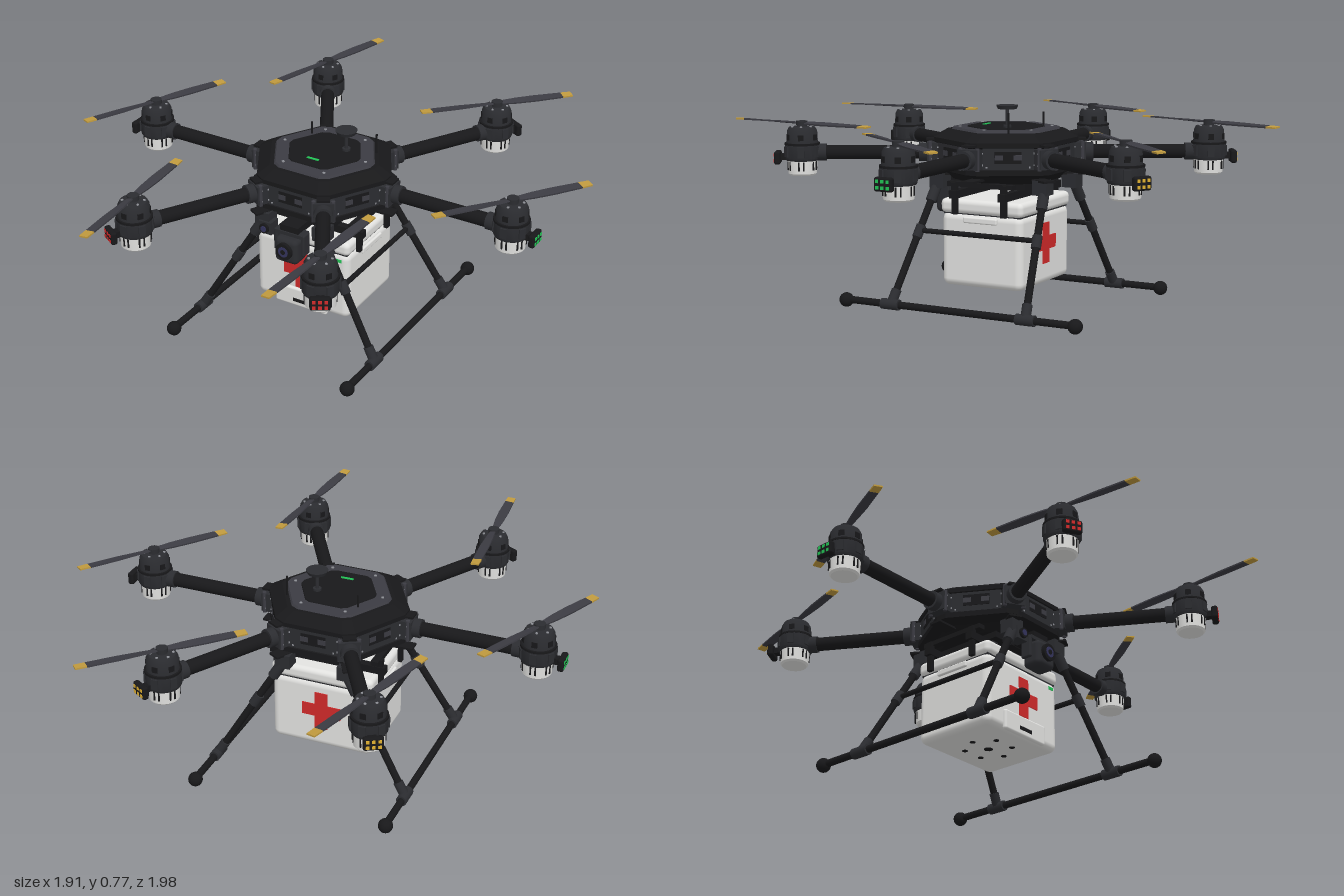
import * as THREE from 'three';
import { toCreasedNormals } from 'three/addons/utils/BufferGeometryUtils.js';
import { RoundedBoxGeometry } from 'three/addons/geometries/RoundedBoxGeometry.js';

const material = (name, color) => {
  const m = new THREE.MeshStandardMaterial({ color });
  m.name = name;
  return m;
};
const M = {
  black: material('black', 0x18181a),
  charcoal: material('charcoal', 0x2b2c30),
  slate: material('slate', 0x3b3b42),
  white: material('white', 0xe2e2e0),
  red: material('red', 0xd02a2a),
  gold: material('gold', 0xc09a3e),
  green: material('green', 0x22c455),
  amber: material('amber', 0xe0b030),
  silver: material('silver', 0x8c8e94),
  lens: material('lens blue', 0x34345c),
};

function add(parent, name, geo, mat, x = 0, y = 0, z = 0) {
  const mesh = new THREE.Mesh(geo, mat);
  mesh.name = name;
  mesh.position.set(x, y, z);
  parent.add(mesh);
  return mesh;
}
function group(parent, name) {
  const g = new THREE.Group();
  g.name = name;
  parent.add(g);
  return g;
}
const box = (w, h, d) => new THREE.BoxGeometry(w, h, d);
const round = (w, h, d, r) => new RoundedBoxGeometry(w, h, d, 3, r);
const cyl = (r, h, n = 20, r2 = r) => new THREE.CylinderGeometry(r, r2, h, n);
const lathe = (pts) =>
  toCreasedNormals(new THREE.LatheGeometry(pts.map(([r, y]) => new THREE.Vector2(r, y)), 28), 0.5);

// Straight tube between two points
function rod(parent, name, a, b, r, mat, n = 14) {
  const p = new THREE.Vector3(...a), q = new THREE.Vector3(...b);
  const mesh = add(parent, name, cyl(r, p.distanceTo(q), n), mat);
  mesh.position.copy(p).lerp(q, 0.5);
  mesh.quaternion.setFromUnitVectors(new THREE.Vector3(0, 1, 0), q.sub(p).normalize());
  return mesh;
}

// Faceted, capped skin through a list of rings with equal point counts
function loft(rings) {
  const pos = [], n = rings[0].length;
  const tri = (...p) => p.forEach((v) => pos.push(...v));
  for (let k = 0; k + 1 < rings.length; k++)
    for (let j = 0; j < n; j++) {
      const i = (j + 1) % n, lo = rings[k], hi = rings[k + 1];
      tri(lo[j], hi[j], hi[i]);
      tri(lo[j], hi[i], lo[i]);
    }
  const first = rings[0], last = rings[rings.length - 1];
  for (let j = 1; j + 1 < n; j++) {
    tri(first[0], first[j], first[j + 1]);
    tri(last[0], last[j + 1], last[j]);
  }
  const g = new THREE.BufferGeometry();
  g.setAttribute('position', new THREE.Float32BufferAttribute(pos, 3));
  g.computeVertexNormals();
  return g;
}

// Hexagon with clipped corners pointing along the arms
function hexRing(r, y) {
  const ring = [];
  for (let i = 0; i < 6; i++)
    for (const s of [-1, 1]) {
      const a = (i * Math.PI) / 3 + s * 0.085;
      ring.push([Math.cos(a) * r * 0.92, y, Math.sin(a) * r * 0.92]);
    }
  return ring;
}
const hexLoft = (profile) => loft(profile.map(([r, y]) => hexRing(r, y)));

// Twisted blade section along +x
function bladeRing([x, halfWidth, twist]) {
  const t = 0.003, c = Math.cos(twist), s = Math.sin(twist);
  return [[t, halfWidth], [t, -halfWidth], [-t, -halfWidth], [-t, halfWidth]]
    .map(([y, z]) => [x, y * c - z * s, y * s + z * c]);
}

function buildPropeller(parent, angle) {
  const prop = group(parent, 'propeller');
  prop.position.set(0.783, 0.705, 0);
  prop.rotation.y = angle;
  add(prop, 'propellerHub', cyl(0.022, 0.016), M.charcoal);
  for (const turn of [0, Math.PI]) {
    const blade = group(prop, 'blade');
    blade.rotation.y = turn;
    const stations = [[0.01, 0.01, 0.25], [0.08, 0.016, 0.22], [0.16, 0.019, 0.14], [0.274, 0.017, 0.08]];
    add(blade, 'bladeBody', loft(stations.map(bladeRing)), M.slate);
    add(blade, 'bladeTip', loft([[0.274, 0.0175, 0.08], [0.316, 0.016, 0.06]].map(bladeRing)), M.gold);
  }
}

function buildMotor(arm, lightMat) {
  const motor = group(arm, 'motor');
  motor.position.x = 0.783;
  add(motor, 'motorBase', lathe([[0, 0.505], [0.048, 0.505], [0.055, 0.512], [0.058, 0.568], [0, 0.568]]), M.white);
  add(motor, 'motorHousing', lathe([[0, 0.562], [0.062, 0.562], [0.066, 0.57], [0.066, 0.622], [0.06, 0.63],
    [0.058, 0.675], [0.05, 0.69], [0.02, 0.692], [0.018, 0.71], [0, 0.71]]), M.charcoal);
  add(motor, 'motorBand', cyl(0.0675, 0.008, 28), M.black, 0, 0.626, 0);
  for (let i = 0; i < 6; i++) {
    const side = group(motor, 'motorDetail');
    side.rotation.y = (i + 0.5) * Math.PI / 3;
    for (const z of [-0.009, 0.009]) add(side, 'baseSlot', box(0.005, 0.034, 0.006), M.black, 0.0555, 0.542, z);
    add(side, 'coolingVent', box(0.006, 0.022, 0.022), M.black, 0.0575, 0.652, 0);
    add(side, 'motorRib', box(0.012, 0.04, 0.026), M.charcoal, 0.064, 0.597, 0);
    add(side, 'motorBolt', cyl(0.005, 0.004, 8), M.silver, 0.04, 0.692, 0);
  }
  // Navigation light on the outer side
  add(motor, 'lightBracket', box(0.035, 0.024, 0.03), M.black, 0.073, 0.575, 0);
  add(motor, 'lightPod', round(0.024, 0.05, 0.072, 0.008), M.black, 0.094, 0.573, 0);
  for (const z of [-0.021, 0, 0.021])
    for (const y of [-0.011, 0.011]) add(motor, 'lightLens', box(0.006, 0.012, 0.012), lightMat, 0.105, 0.573 + y, z);
}

function buildArm(root, index, propAngle, lightMat) {
  const a = (index * Math.PI) / 3;
  const arm = group(root, 'arm');
  arm.rotation.y = -a;
  rod(arm, 'armTube', [0.2, 0.592, 0], [0.75, 0.592, 0], 0.027, M.black, 20);
  // Folding clamp at the body
  add(arm, 'armClamp', box(0.06, 0.075, 0.08), M.charcoal, 0.275, 0.592, 0);
  rod(arm, 'clampCollar', [0.29, 0.592, 0], [0.335, 0.592, 0], 0.036, M.charcoal, 20);
  for (const y of [0.642, 0.508]) add(arm, 'clampTab', box(0.09, 0.008, 0.05), M.black, 0.262, y, 0);
  for (const z of [-1, 1]) {
    rod(arm, 'clampPin', [0.292, 0.55, z * 0.036], [0.292, 0.636, z * 0.036], 0.008, M.slate, 10);
    for (const x of [0.262, 0.29])
      for (const y of [0.57, 0.614]) add(arm, 'clampBolt', box(0.006, 0.006, 0.004), M.silver, x, y, z * 0.041);
  }
  rod(arm, 'motorCollar', [0.69, 0.592, 0], [0.73, 0.592, 0], 0.033, M.charcoal, 20);
  buildMotor(arm, lightMat);
  buildPropeller(arm, THREE.MathUtils.degToRad(propAngle) + a);
}

function buildBody(root) {
  const body = group(root, 'body');
  add(body, 'bodyShell', hexLoft([[0.22, 0.49], [0.25, 0.515], [0.3, 0.53], [0.3, 0.55], [0.28, 0.56],
    [0.28, 0.625], [0.302, 0.635], [0.302, 0.652], [0.245, 0.682], [0, 0.682]]), M.black);
  add(body, 'lidFrame', hexLoft([[0.228, 0.68], [0.22, 0.69]]), M.slate);
  add(body, 'lidPanel', hexLoft([[0.163, 0.688], [0.16, 0.694]]), M.black);
  add(body, 'statusLight', box(0.05, 0.004, 0.01), M.green, 0, 0.695, 0.085);
  // Equipment panels between the arms
  for (let i = 0; i < 6; i++) {
    const side = group(body, 'sidePanel');
    side.rotation.y = (i + 0.5) * Math.PI / 3;
    add(side, 'panelPlate', box(0.02, 0.08, 0.19), M.charcoal, 0.237, 0.593, 0);
    add(side, 'panelInset', box(0.006, 0.045, 0.1), M.black, 0.246, 0.598, 0);
    for (const z of [-0.035, 0.035]) {
      add(side, 'panelPort', box(0.008, 0.02, 0.03), M.slate, 0.247, 0.598, z);
      add(side, 'panelScrew', box(0.005, 0.006, 0.006), M.silver, 0.246, 0.562, z * 2.3);
    }
    const corner = group(body, 'lidScrew');
    corner.rotation.y = i * Math.PI / 3;
    add(corner, 'screwHead', cyl(0.006, 0.004, 8), M.silver, 0.177, 0.691, 0);
  }
  // Antennas
  rod(body, 'antennaMast', [0.07, 0.68, -0.042], [0.07, 0.77, -0.042], 0.007, M.charcoal);
  add(body, 'antennaFoot', cyl(0.016, 0.012), M.charcoal, 0.07, 0.697, -0.042);
  add(body, 'antennaDisc', cyl(0.042, 0.014, 28, 0.036), M.charcoal, 0.07, 0.772, -0.042);
  rod(body, 'leftWhip', [0.168, 0.65, -0.1], [0.168, 0.76, -0.1], 0.004, M.black, 8);
  rod(body, 'rightWhip', [-0.118, 0.65, -0.1], [-0.118, 0.74, -0.1], 0.004, M.black, 8);
}

function buildLandingGear(root) {
  for (const s of [-1, 1]) {
    const gear = group(root, s > 0 ? 'leftLandingGear' : 'rightLandingGear');
    const at = (t, f) => [s * (0.135 + 0.252 * t), 0.46 - 0.425 * t, f * (0.232 + 0.054 * t)];
    rod(gear, 'skid', [s * 0.387, 0.035, -0.49], [s * 0.387, 0.035, 0.49], 0.014, M.black);
    rod(gear, 'gearBrace', at(0.38, -1), at(0.38, 1), 0.01, M.black);
    for (const f of [-1, 1]) {
      add(gear, 'skidCap', new THREE.SphereGeometry(0.028, 18, 12), M.black, s * 0.387, 0.033, f * 0.487);
      rod(gear, 'skidSleeve', [s * 0.387, 0.035, f * 0.25], [s * 0.387, 0.035, f * 0.325], 0.021, M.charcoal);
      rod(gear, 'leg', at(0, f), at(1, f), 0.014, M.black);
      rod(gear, 'legUpperSleeve', at(0, f), at(0.13, f), 0.021, M.charcoal);
      rod(gear, 'legCollar', at(0.34, f), at(0.44, f), 0.019, M.charcoal);
      rod(gear, 'legLowerSleeve', at(0.88, f), at(0.98, f), 0.019, M.charcoal);
      add(gear, 'legMount', box(0.06, 0.055, 0.06), M.charcoal, s * 0.125, 0.482, f * 0.222);
    }
  }
}

function buildPayload(root) {
  const payload = group(root, 'payloadBox');
  add(payload, 'boxBody', round(0.41, 0.285, 0.345, 0.028), M.white, 0, 0.232, 0);
  add(payload, 'boxLid', round(0.414, 0.056, 0.352, 0.02), M.white, 0, 0.398, 0);
  add(payload, 'lidSeal', box(0.39, 0.012, 0.33), M.charcoal, 0, 0.373, 0);
  add(payload, 'frontHatch', round(0.23, 0.08, 0.02, 0.009), M.white, 0, 0.128, 0.174);
  add(payload, 'hatchSlot', box(0.066, 0.014, 0.004), M.black, 0, 0.116, 0.184);
  add(payload, 'boxIndicator', box(0.025, 0.012, 0.004), M.green, 0.164, 0.345, 0.173);
  for (const f of [-1, 1]) {
    add(payload, 'crossUpright', box(0.052, 0.158, 0.006), M.red, 0, 0.25, f * 0.173);
    for (const x of [-1, 1]) add(payload, 'crossArm', box(0.053, 0.052, 0.006), M.red, x * 0.0525, 0.25, f * 0.173);
  }
  // Drain holes under the box
  for (let i = 0; i < 7; i++) {
    const a = i * Math.PI / 3, r = i < 6 ? 0.09 : 0;
    add(payload, 'drainHole', cyl(i < 6 ? 0.011 : 0.017, 0.004, 12), M.black, Math.cos(a) * r, 0.0895, Math.sin(a) * r);
  }
  // Hanger frame above, hooked round the lid
  const hanger = group(root, 'payloadHanger');
  add(hanger, 'hangerPlate', box(0.26, 0.025, 0.3), M.black, 0, 0.478, 0);
  for (const s of [-1, 1]) {
    add(payload, 'sideHandle', round(0.014, 0.024, 0.145, 0.006), M.white, s * 0.207, 0.35, 0);
    add(hanger, 'hangerRail', box(0.03, 0.018, 0.28), M.black, s * 0.2, 0.485, 0);
    add(hanger, 'crossRail', box(0.47, 0.03, 0.03), M.black, 0, 0.447, s * 0.105);
    for (const f of [-1, 1]) {
      add(hanger, 'hangerClip', box(0.016, 0.12, 0.022), M.black, s * 0.215, 0.43, f * 0.105);
      add(hanger, 'hangerPost', box(0.03, 0.06, 0.03), M.charcoal, s * 0.1, 0.49, f * 0.105);
    }
  }
}

function buildCamera(root) {
  const cam = group(root, 'camera');
  add(cam, 'gimbalMount', box(0.08, 0.03, 0.1), M.black, 0, 0.475, 0.21);
  add(cam, 'gimbalYoke', box(0.12, 0.014, 0.05), M.charcoal, 0, 0.458, 0.24);
  for (const s of [-1, 1]) add(cam, 'gimbalArm', round(0.016, 0.09, 0.045, 0.006), M.charcoal, s * 0.059, 0.42, 0.24);
  add(cam, 'cameraHousing', round(0.1, 0.105, 0.08, 0.02), M.charcoal, 0, 0.395, 0.25);
  rod(cam, 'lensBarrel', [0, 0.4, 0.28], [0, 0.4, 0.303], 0.034, M.black, 24);
  rod(cam, 'lensGlass', [0, 0.4, 0.3], [0, 0.4, 0.305], 0.021, M.lens, 24);
  rod(cam, 'lensPupil', [0, 0.4, 0.3], [0, 0.4, 0.307], 0.01, M.black, 16);
  // Small forward sensor beside the camera
  add(cam, 'sensorHousing', box(0.055, 0.05, 0.05), M.charcoal, -0.107, 0.452, 0.235);
  rod(cam, 'sensorBarrel', [-0.107, 0.452, 0.25], [-0.107, 0.452, 0.27], 0.02, M.black);
  rod(cam, 'sensorGlass', [-0.107, 0.452, 0.26], [-0.107, 0.452, 0.273], 0.012, M.lens);
}

export function createModel() {
  const model = new THREE.Group();
  model.name = 'deliveryDrone';
  const root = group(model, 'airframe');
  root.position.set(-0.034, 0, -0.008);
  buildBody(root);
  const propAngles = [53.2, 86.6, 94.3, 65.8, 74.6, 45.7];
  const lights = [M.green, M.red, M.red, M.green, M.amber, M.amber];
  propAngles.forEach((angle, i) => buildArm(root, i, angle, lights[i]));
  buildLandingGear(root);
  buildPayload(root);
  buildCamera(root);
  return model;
}
